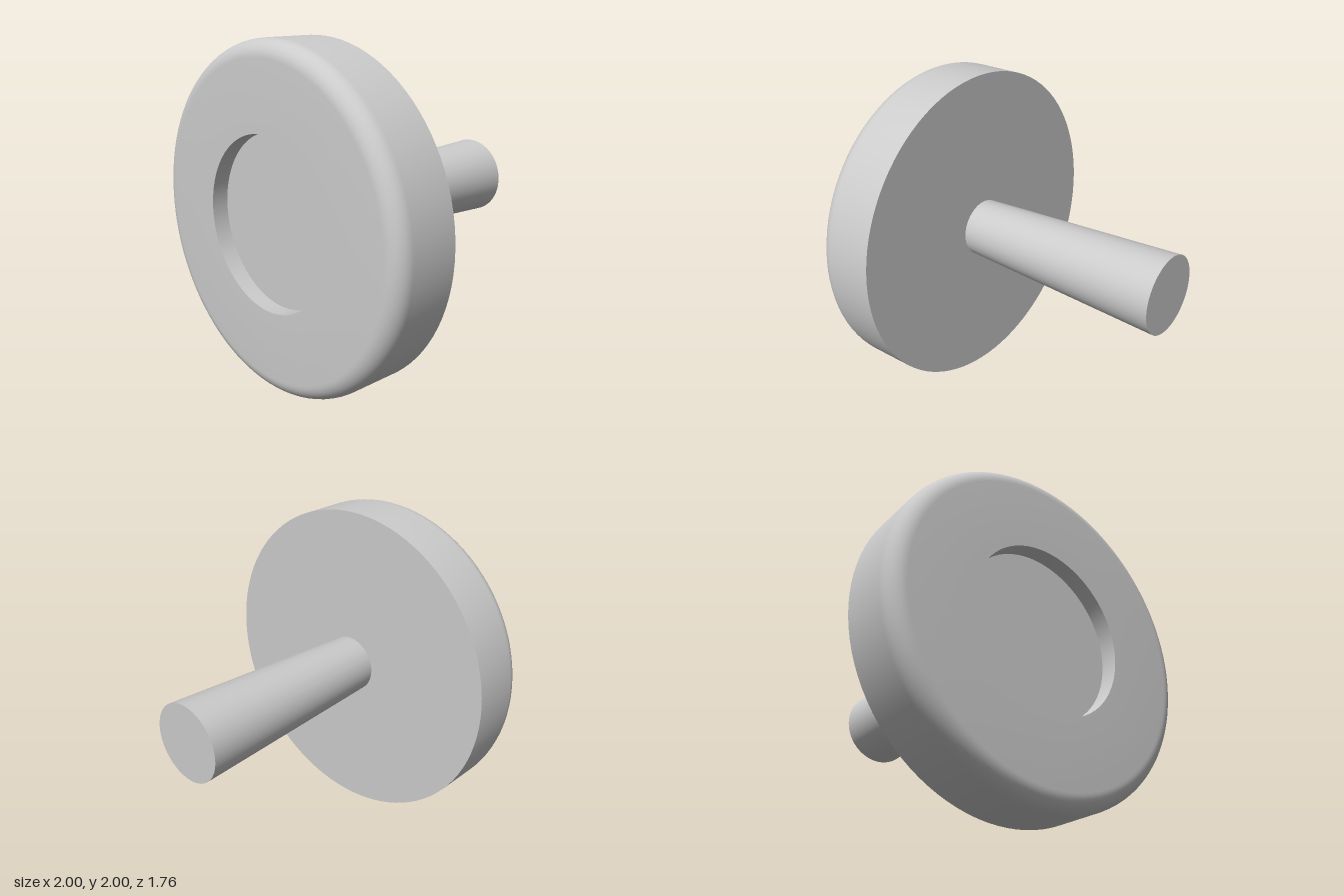
import * as THREE from 'three';
import { toCreasedNormals } from 'three/addons/utils/BufferGeometryUtils.js';

const material = new THREE.MeshStandardMaterial({ color: 0xcccccc });

// Turned part: profile of [radius, z] pairs, running from back to front
function turned(name, profile) {
  const points = profile.map(([r, z]) => new THREE.Vector2(r, z));
  const geometry = new THREE.LatheGeometry(points, 96);
  geometry.rotateX(Math.PI / 2);
  const mesh = new THREE.Mesh(toCreasedNormals(geometry, Math.PI / 6), material);
  mesh.name = name;
  mesh.position.y = 1;
  return mesh;
}

export function createModel() {
  const group = new THREE.Group();
  group.name = 'knob';

  const back = 0.48, front = 0.88, radius = 1, fillet = 0.1;

  // Rounded front rim
  const rim = [];
  for (let i = 0; i <= 10; i++) {
    const a = (i / 10) * Math.PI / 2;
    rim.push([radius - fillet + fillet * Math.cos(a), front - fillet + fillet * Math.sin(a)]);
  }

  // Disc with a shallow round recess in its face
  group.add(turned('disc', [
    [0, back], [radius, back],
    ...rim,
    [0.5, front], [0.5, front - 0.1], [0, front - 0.1],
  ]));

  // Stem flaring towards the back
  group.add(turned('stem', [[0, -0.88], [0.24, -0.88], [0.18, back]]));

  return group;
}
